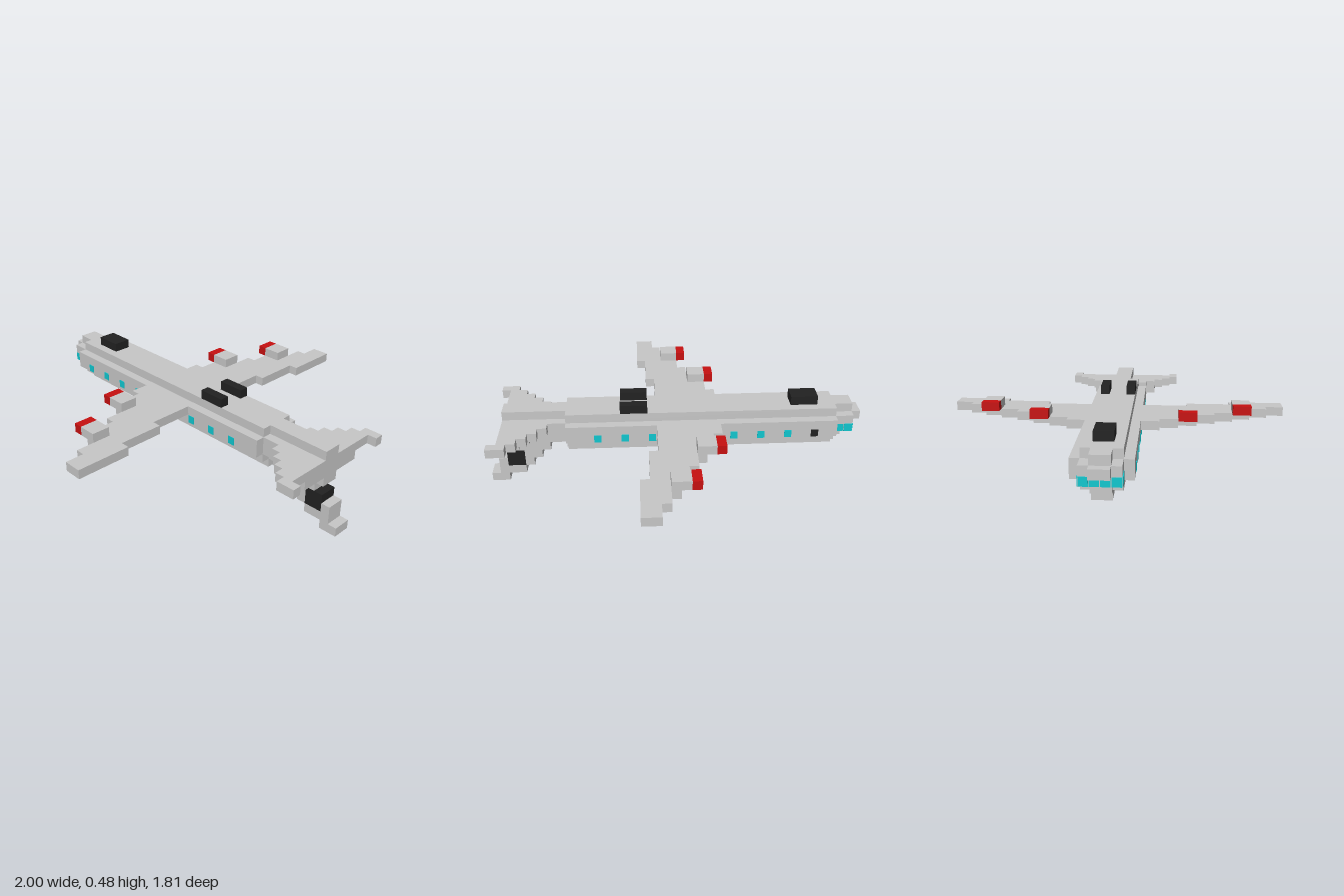
import * as THREE from 'three';

const U = 1 / 21; // one block
const mat = (name, color) => Object.assign(new THREE.MeshStandardMaterial({ color }), { name });

export function createModel() {
  const model = new THREE.Group();
  model.name = 'blockAirliner';
  const grey = mat('hullGrey', 0xc8c8c8);
  const black = mat('tyreBlack', 0x222222);
  const red = mat('engineRed', 0xc81010);
  const cyan = mat('glassCyan', 0x10c8d0);

  // Box between two corners given in blocks (x counted from the nose)
  function box(name, material, x0, x1, y0, y1, z0, z1, parent = model) {
    const geo = new THREE.BoxGeometry((x1 - x0) * U, (y1 - y0) * U, (z1 - z0) * U);
    const mesh = new THREE.Mesh(geo, material);
    mesh.name = name;
    mesh.position.set(((x0 + x1) / 2 - 21) * U, ((y0 + y1) / 2) * U, ((z0 + z1) / 2) * U);
    parent.add(mesh);
  }
  const part = (name) => {
    const g = new THREE.Group();
    g.name = name;
    model.add(g);
    return g;
  };

  // Fuselage: stepped layers [bottom y, half width]
  const fuselage = part('fuselage');
  [[4, 1], [5, 2], [6, 3], [7, 3], [8, 2]].forEach(([y, w]) =>
    box('fuselageLayer', grey, 3, 33, y, y + 1, -w, w, fuselage));

  // Nose: stepped blocks [x0, x1, y, half width]
  const nose = part('nose');
  [[2, 3, 5, 1], [1, 3, 6, 2], [1, 3, 7, 2], [0, 1, 7, 1], [1, 3, 8, 1]].forEach(([a, b, y, w]) =>
    box('noseBlock', grey, a, b, y, y + 1, -w, w, nose));

  // Tail cone
  const tail = part('tailCone');
  [[33, 40, 5, 1], [33, 37, 6, 2], [33, 35, 7, 2], [33, 40, 8, 1]].forEach(([a, b, y, w]) =>
    box('tailBlock', grey, a, b, y, y + 1, -w, w, tail));

  // Stabiliser with a smaller layer beneath it
  const stabiliser = part('stabiliser');
  for (let x = 35; x < 40; x++) {
    box('stabiliserStep', grey, x, x + 1, 7, 8, 32 - x, x - 32, stabiliser);
    const w = Math.min(4, x - 34);
    if (x > 36) box('stabiliserRoot', grey, x, x + 1, 6, 7, -w, w, stabiliser);
  }
  for (const z of [-7, 6]) box('stabiliserTip', grey, 40, 41, 7, 8, z, z + 1, stabiliser);

  // Tail fin, pointing down, with a dark patch
  const fin = part('tailFin');
  [[35, 39, 4], [36, 38, 3], [37, 38, 2], [40, 41, 2], [38, 41, 1], [40, 42, 0]].forEach(([a, b, y]) =>
    box('finStep', grey, a, b, y, y + 1, -1, 1, fin));
  box('finPatch', black, 38, 40, 2, 4, -1, 1, fin);

  // Wings and engines, mirrored
  for (const s of [1, -1]) {
    const wing = part(s > 0 ? 'frontWing' : 'backWing');
    const slab = (name, m, a, b, y, z0, z1) =>
      box(name, m, a, b, y, y + 1, Math.min(s * z0, s * z1), Math.max(s * z0, s * z1), wing);
    // [leading x, trailing x, inner z, outer z]
    [[16, 23, 2, 5], [17, 23, 5, 7], [18, 23, 7, 8], [18, 24, 8, 9], [19, 24, 9, 11],
      [20, 24, 11, 13], [21, 25, 13, 15], [22, 25, 15, 17], [23, 25, 17, 19]].forEach(([a, b, c, d]) =>
      slab('wingStep', grey, a, b, 7, c, d));
    for (const [x, z] of [[16, 7], [19, 13]]) {
      slab('engineIntake', red, x, x + 1, 8, z, z + 2);
      slab('engineBody', grey, x + 1, x + 3, 8, z, z + 2);
    }
    // Main wheels
    slab('mainWheel', black, 24, 27, 9, 1, 2);
  }
  box('noseWheel', black, 5, 8, 9, 10, -1, 1);

  // Cabin windows, one per three blocks; the first on the far side is dark
  const t = 0.06;
  const windows = part('windows');
  for (const s of [1, -1]) {
    for (let x = 5; x < 30; x += 3) {
      const m = s < 0 && x === 5 ? black : cyan;
      box('cabinWindow', m, x + 0.1, x + 0.9, 6.08, 6.95, s * 3 - t, s * 3 + t, windows);
    }
    // Cockpit side panes
    for (const x of [1, 2]) {
      box('cockpitSidePane', cyan, x + 0.03, x + 0.95, 6.04, 6.96, s * 2 - t, s * 2 + t, windows);
    }
  }
  // Cockpit front panes
  for (let z = -2; z < 2; z++) {
    box('cockpitFrontPane', cyan, 1 - t, 1 + t, 6.04, 6.96, z + 0.04, z + 0.96, windows);
  }
  return model;
}
